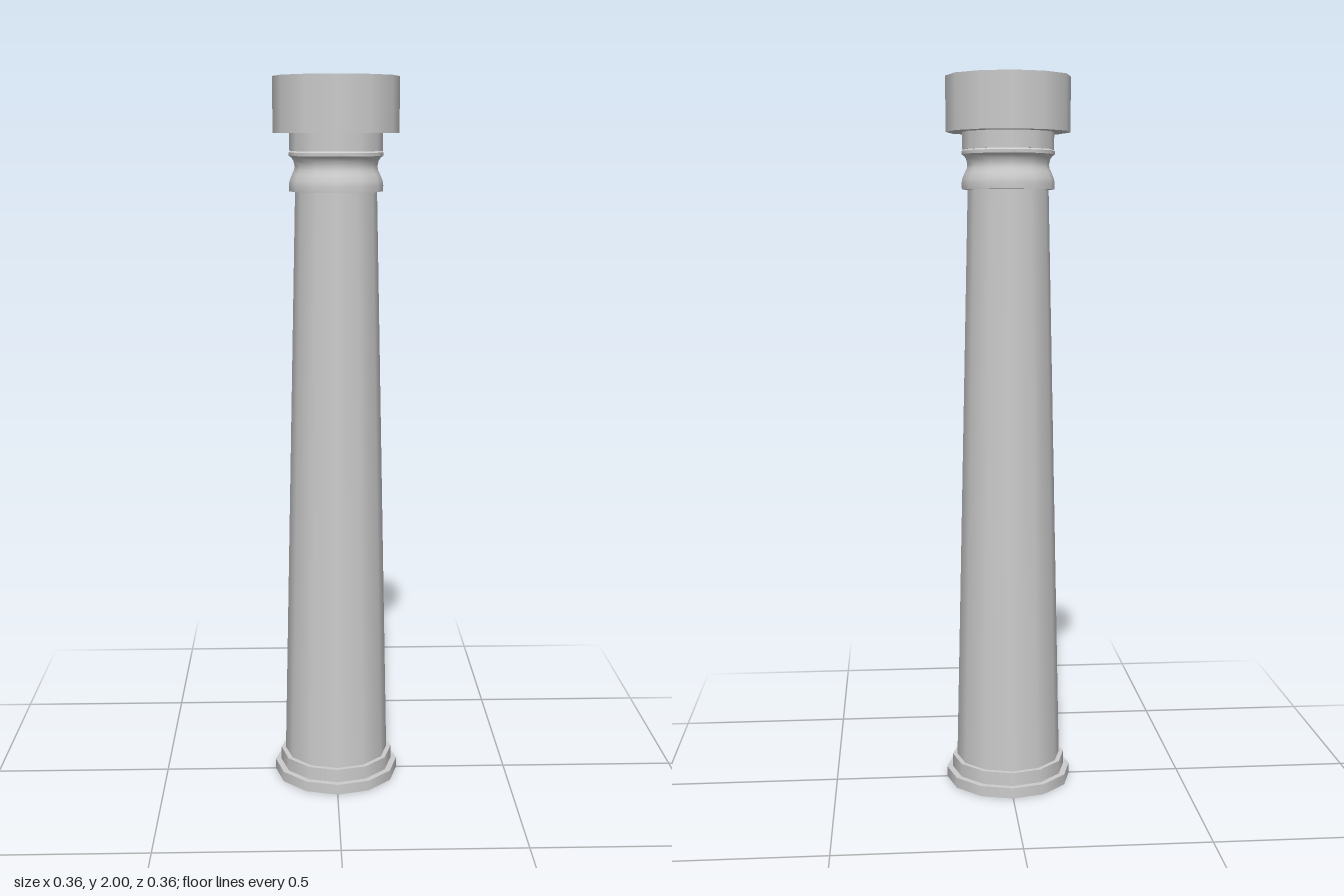
import * as THREE from 'three';
import { toCreasedNormals } from 'three/addons/utils/BufferGeometryUtils.js';

const SIDES = 12;

export function createModel() {
  const column = new THREE.Group();
  column.name = 'column';
  const material = new THREE.MeshStandardMaterial({ color: 0xcccccc });

  const add = (name, geometry) => {
    const mesh = new THREE.Mesh(geometry, material);
    mesh.name = name;
    column.add(mesh);
    return mesh;
  };

  // Twelve-sided drum between two heights
  const drum = (name, bottomRadius, topRadius, y0, y1) => {
    add(name, new THREE.CylinderGeometry(topRadius, bottomRadius, y1 - y0, SIDES))
      .position.y = (y0 + y1) / 2;
  };

  // Stepped base and tapering shaft
  drum('plinth', 0.179, 0.179, 0, 0.03);
  drum('baseStep', 0.162, 0.162, 0.03, 0.068);
  drum('shaft', 0.149, 0.112, 0.068, 1.7);

  // Moulded collar: rounded lower bead, hollow waist, flared lip
  const profile = [
    [0.105, 1.695], [0.128, 1.695], [0.129, 1.711], [0.127, 1.724],
    [0.12, 1.741], [0.114, 1.753], [0.113, 1.764], [0.116, 1.777],
    [0.122, 1.786], [0.129, 1.79], [0.129, 1.799], [0.121, 1.806],
    [0.105, 1.806],
  ].map(([r, y]) => new THREE.Vector2(r, y));
  add('collar', toCreasedNormals(new THREE.LatheGeometry(profile, SIDES), 0.7));

  // Neck and capital block
  drum('neck', 0.127, 0.127, 1.803, 1.85);
  drum('capital', 0.172, 0.172, 1.85, 2);

  return column;
}
